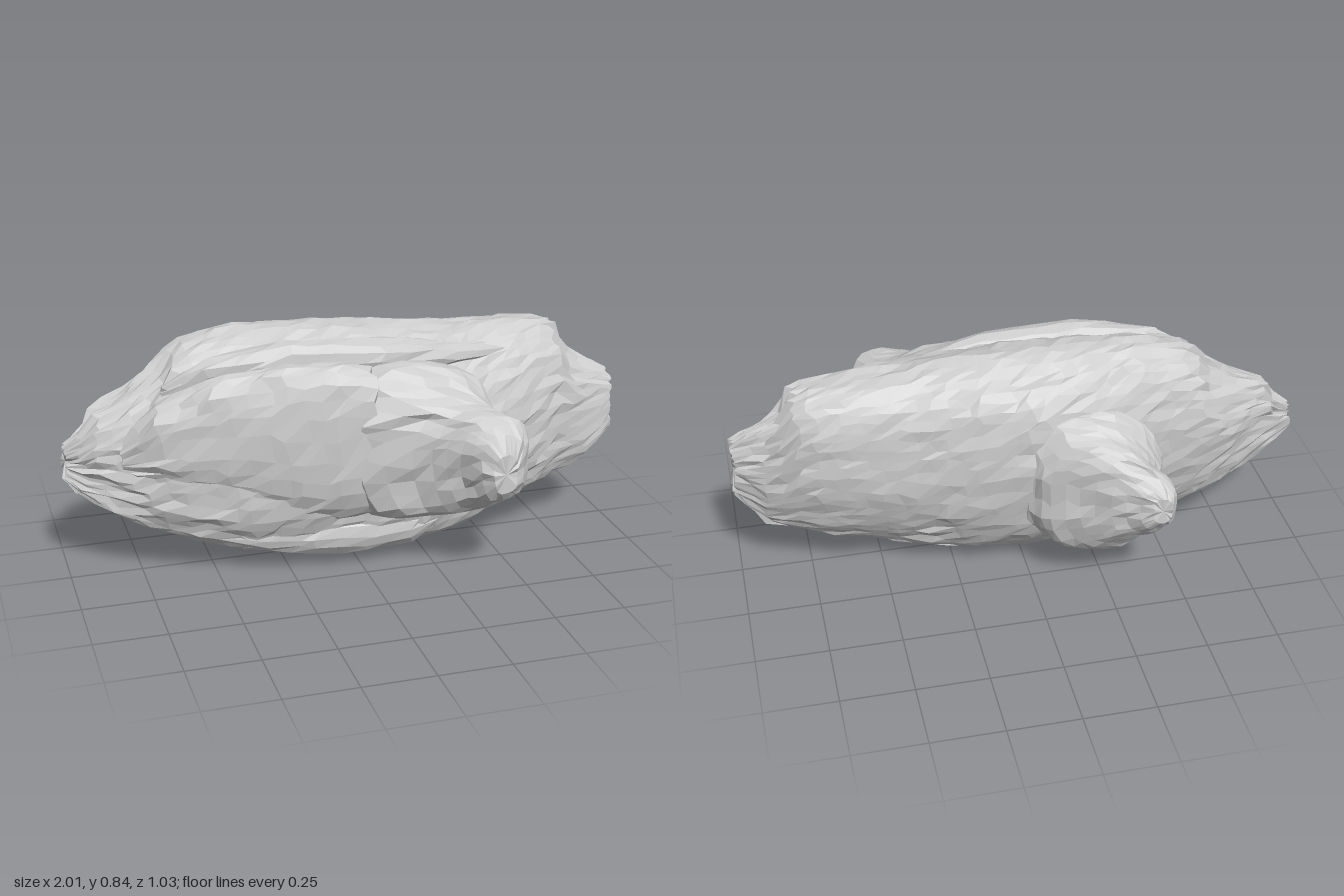
import * as THREE from 'three';

// Repeatable hash and smooth 2D noise, periodic around the section
const hash = (a, b, s) => {
  const h = Math.sin(a * 127.1 + b * 311.7 + s * 74.7) * 43758.5453;
  return h - Math.floor(h);
};
function noise(w, t, period, seed) {
  const a = t * period, i = Math.floor(w), j = Math.floor(a);
  const f = w - i, g = a - j;
  const s = f * f * (3 - 2 * f);
  const at = (p, q) => hash(p, ((q % period) + period) % period, seed);
  const lo = at(i, j) * (1 - g) + at(i, j + 1) * g;
  const hi = at(i + 1, j) * (1 - g) + at(i + 1, j + 1) * g;
  return lo * (1 - s) + hi * s;
}

// Extents [u0, u1, v0, v1] at station w, between listed sections
function extentsAt(sections, w) {
  let k = 0;
  while (k < sections.length - 2 && sections[k + 1][0] < w) k++;
  const a = sections[k], b = sections[k + 1];
  const f = (w - a[0]) / (b[0] - a[0]);
  return [1, 2, 3, 4].map((n) => a[n] + (b[n] - a[n]) * f);
}

const material = new THREE.MeshStandardMaterial({ color: 0xcccccc, flatShading: true });

// Rough solid lofted along an axis; grain sets the grooves running its length,
// lean tilts the section, ragged breaks up the ends
function roughLoft(name, axis, sections, { rings, sides, grain, depth, power, seed, lean = 0, ragged = 0.03 }) {
  const w0 = sections[0][0], w1 = sections[sections.length - 1][0], mid = (w0 + w1) / 2;
  const pos = [], index = [];
  const put = (u, v, w) => (axis === 'x' ? pos.push(w, u, v) : pos.push(u, v, w));
  for (let i = 0; i <= rings; i++) {
    const w = w0 + ((w1 - w0) * i) / rings;
    const [u0, u1, v0, v1] = extentsAt(sections, w);
    const uc = (u0 + u1) / 2, vc = (v0 + v1) / 2;
    for (let j = 0; j < sides; j++) {
      const t = j / sides;
      const a = (t + (hash(i, j, seed) - 0.5) * 0.5 / sides) * Math.PI * 2;
      const c = Math.cos(a), s = Math.sin(a);
      const r = 1.015 + depth * (0.4 - noise(w * 2.2, t, grain, seed)
        + 0.5 * (0.4 - noise(w * 6, t, grain * 2, seed + 1)))
        - 0.03 * hash(i, j, seed + 2);
      const du = Math.sign(c) * Math.abs(c) ** power * r * (u1 - u0) / 2;
      const dv = Math.sign(s) * Math.abs(s) ** power * r * (v1 - v0) / 2;
      const slip = (hash(i, j, seed + 3) - 0.5) * 0.7 * (w1 - w0) / rings;
      const wj = THREE.MathUtils.clamp(w + slip, w0, w1);
      put(uc + du, vc + dv + lean * du,
        mid + (wj - mid) * (1 - ragged * noise(i * 0.3, t, grain, seed + 4)));
    }
  }
  for (let i = 0; i < rings; i++) {
    for (let j = 0; j < sides; j++) {
      const k = (j + 1) % sides;
      const a = i * sides + j, b = i * sides + k;
      index.push(a, b, a + sides, b, b + sides, a + sides);
    }
  }
  // Close both ends
  [[0, w0], [rings, w1]].forEach(([ring, w]) => {
    const [u0, u1, v0, v1] = extentsAt(sections, w);
    const centre = pos.length / 3;
    put((u0 + u1) / 2, (v0 + v1) / 2, mid + (w - mid) * (1 - ragged * 0.7));
    for (let j = 0; j < sides; j++) {
      const a = ring * sides + j, b = ring * sides + ((j + 1) % sides);
      if (ring) index.push(centre, a, b);
      else index.push(centre, b, a);
    }
  });
  const geometry = new THREE.BufferGeometry();
  geometry.setAttribute('position', new THREE.Float32BufferAttribute(pos, 3));
  geometry.setIndex(index);
  geometry.computeVertexNormals();
  const mesh = new THREE.Mesh(geometry, material);
  mesh.name = name;
  return mesh;
}

export function createModel() {
  const model = new THREE.Group();
  model.name = 'weatheredLog';

  // Main body: x, bottom, top, back, front; its top leans to the back
  model.add(roughLoft('body', 'x', [
    [-1.01, 0.36, 0.48, -0.09, -0.02],
    [-0.95, 0.3, 0.53, -0.11, 0.02],
    [-0.9, 0.26, 0.6, -0.14, 0.05],
    [-0.8, 0.19, 0.65, -0.18, 0.09],
    [-0.7, 0.14, 0.7, -0.22, 0.12],
    [-0.6, 0.1, 0.79, -0.25, 0.15],
    [-0.4, 0.04, 0.83, -0.27, 0.19],
    [-0.2, 0.03, 0.835, -0.29, 0.22],
    [0, 0.02, 0.83, -0.3, 0.23],
    [0.2, 0.02, 0.81, -0.27, 0.24],
    [0.4, 0.05, 0.79, -0.23, 0.22],
    [0.6, 0.12, 0.79, -0.21, 0.17],
    [0.72, 0.16, 0.79, -0.2, 0.13],
    [0.8, 0.19, 0.77, -0.17, 0.1],
    [0.84, 0.2, 0.68, -0.15, 0.09],
    [0.92, 0.22, 0.63, -0.11, 0.07],
    [0.96, 0.29, 0.61, -0.09, 0.06],
    [1.01, 0.34, 0.58, -0.07, 0.05],
  ], { rings: 36, sides: 54, grain: 15, depth: 0.1, power: 0.9, seed: 3, lean: -0.1 }));

  // Raised slab on the front, ending in a step beside the stub
  model.add(roughLoft('frontSlab', 'x', [
    [-0.82, 0.4, 0.5, 0, 0.08],
    [-0.7, 0.35, 0.64, 0, 0.14],
    [-0.5, 0.28, 0.73, 0.02, 0.19],
    [-0.3, 0.21, 0.77, 0.04, 0.235],
    [-0.1, 0.19, 0.77, 0.06, 0.27],
    [0.04, 0.21, 0.74, 0.08, 0.28],
  ], { rings: 14, sides: 26, grain: 9, depth: 0.09, power: 0.85, seed: 11 }));

  // Branch stubs: z, x min, x max, bottom, top
  model.add(roughLoft('frontStub', 'z', [
    [0.14, -0.15, 0.46, 0.14, 0.74],
    [0.2, -0.08, 0.47, 0.16, 0.74],
    [0.27, -0.04, 0.48, 0.19, 0.67],
    [0.34, 0.17, 0.49, 0.22, 0.62],
    [0.42, 0.27, 0.53, 0.28, 0.61],
    [0.48, 0.32, 0.49, 0.32, 0.57],
    [0.515, 0.36, 0.45, 0.36, 0.5],
  ], { rings: 12, sides: 24, grain: 9, depth: 0.12, power: 0.85, seed: 23 }));

  model.add(roughLoft('backStub', 'z', [
    [-0.515, -0.43, -0.36, 0.36, 0.46],
    [-0.48, -0.45, -0.3, 0.3, 0.5],
    [-0.45, -0.46, -0.24, 0.27, 0.54],
    [-0.41, -0.4, -0.16, 0.22, 0.59],
    [-0.34, -0.44, -0.02, 0.13, 0.63],
    [-0.27, -0.46, 0.03, 0.12, 0.68],
    [-0.18, -0.48, 0.08, 0.13, 0.72],
  ], { rings: 14, sides: 24, grain: 9, depth: 0.12, power: 0.85, seed: 37 }));

  // Long splinters: along the front of the top and under the front edge
  const splinter = { rings: 16, sides: 12, grain: 5, depth: 0.14, power: 0.95 };
  model.add(roughLoft('topSplinter', 'x', [
    [-0.68, 0.65, 0.69, 0.02, 0.06],
    [-0.5, 0.68, 0.79, 0.02, 0.11],
    [-0.25, 0.68, 0.83, 0.02, 0.15],
    [0.1, 0.67, 0.81, 0.02, 0.17],
    [0.35, 0.67, 0.77, 0.01, 0.13],
    [0.7, 0.68, 0.72, 0, 0.04],
  ], { ...splinter, seed: 41 }));
  model.add(roughLoft('lowerSplinter', 'x', [
    [-0.75, 0.22, 0.25, 0.05, 0.08],
    [-0.4, 0.08, 0.2, 0.08, 0.16],
    [-0.1, 0.04, 0.2, 0.1, 0.21],
    [0.2, 0.05, 0.2, 0.1, 0.21],
    [0.6, 0.19, 0.22, 0.07, 0.1],
  ], { ...splinter, seed: 53 }));

  // Rest on the ground
  const box = new THREE.Box3().setFromObject(model);
  model.children.forEach((part) => { part.position.y -= box.min.y; });
  return model;
}
